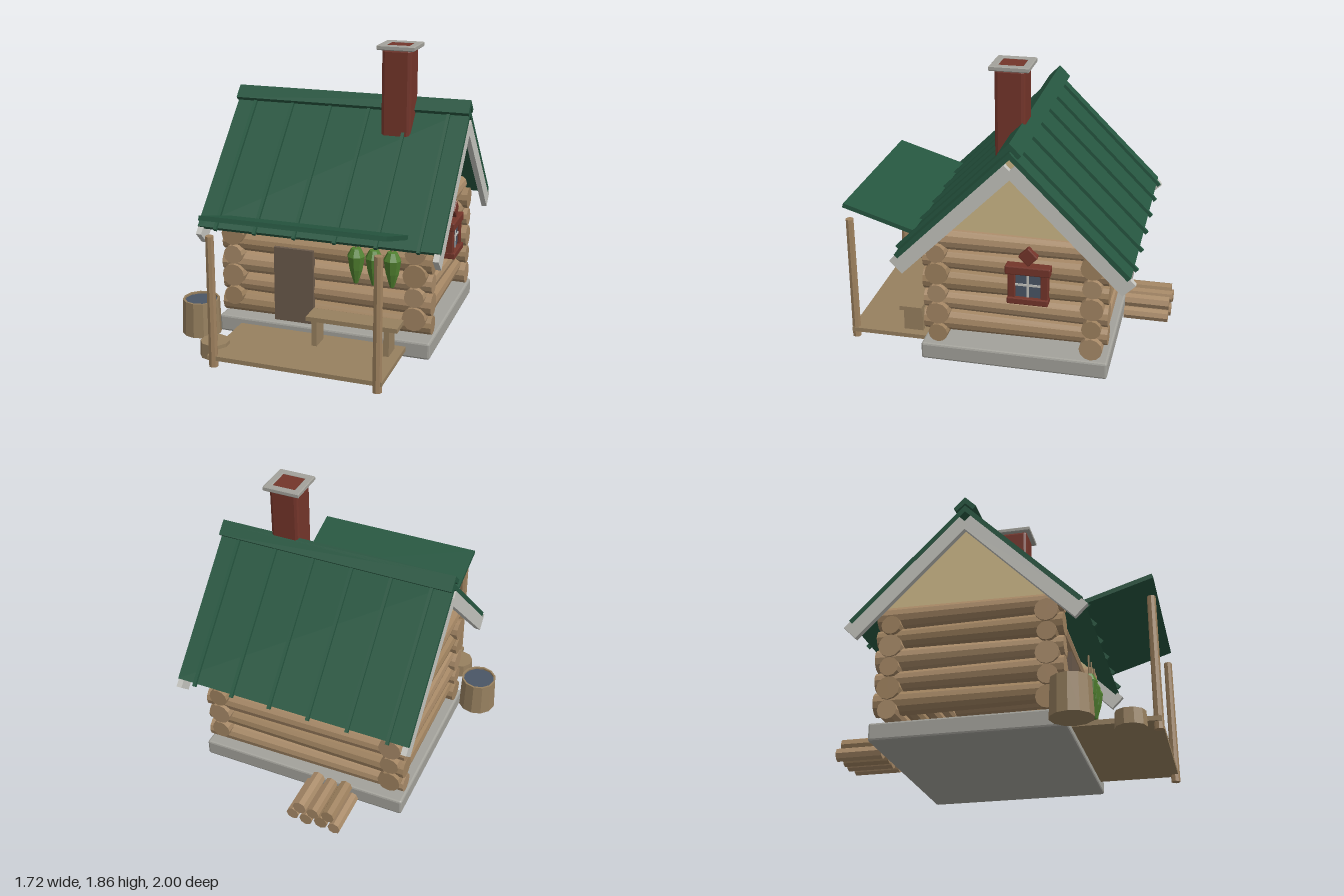
import * as THREE from 'three';
import { RoundedBoxGeometry } from 'three/addons/geometries/RoundedBoxGeometry.js';

const mat = (color, side = THREE.FrontSide) => new THREE.MeshStandardMaterial({ color, side, flatShading: true });

export function createModel() {
  const model = new THREE.Group();
  const woods = [0xa98b69, 0x9f825f, 0xa48664].map((c) => mat(c));
  const plank = mat(0x97805f), doorWood = mat(0x6b5a4b), green = mat(0x265640);
  const brick = mat(0x74352a), stone = mat(0xa3a29b), trim = mat(0xc4c4be);
  const cream = mat(0xcdb888), glass = mat(0x4a5566), leaf = mat(0x50802f);

  function add(name, geometry, material, x, y, z, parent = model) {
    const mesh = new THREE.Mesh(geometry, material);
    mesh.name = name;
    mesh.position.set(x, y, z);
    parent.add(mesh);
    return mesh;
  }
  const box = (name, m, w, h, d, x, y, z, parent) =>
    add(name, new THREE.BoxGeometry(w, h, d), m, x, y, z, parent);
  const bevelBox = (name, m, w, h, d, x, y, z, parent) =>
    add(name, new RoundedBoxGeometry(w, h, d, 1, Math.min(w, h, d) * 0.12), m, x, y, z, parent);

  const cx = 0.075, ridgeZ = -0.11;

  // Stone base
  bevelBox('foundation', stone, 1.4, 0.11, 1.17, cx, 0.055, -0.105);

  // Interlocking log walls, each log slightly tapered
  const walls = new THREE.Group();
  walls.name = 'logWalls';
  model.add(walls);
  for (let i = 0; i < 5; i++) {
    [0, 1].forEach((k) => {
      const taper = (i + k) % 2 ? 0.006 : -0.006;
      const log = add('frontBackLog', new THREE.CylinderGeometry(0.066 + taper, 0.066 - taper, 1.38, 12),
        woods[(i + k) % 3], cx, 0.19 + i * 0.136, k ? 0.37 : -0.585, walls);
      log.rotation.z = Math.PI / 2;
      const side = add('sideLog', new THREE.CylinderGeometry(0.068 + taper, 0.068 - taper, 1.145, 12),
        woods[(i + k + 1) % 3], k ? 0.665 : -0.53, 0.25 + i * 0.139, -0.107, walls);
      side.rotation.x = Math.PI / 2;
    });
  }

  // Gable panels
  const triangle = new THREE.Shape([
    new THREE.Vector2(-0.55, 0), new THREE.Vector2(0.55, 0), new THREE.Vector2(0, 0.55)]);
  const gableGeo = new THREE.ExtrudeGeometry(triangle, { depth: 0.04, bevelEnabled: false })
    .translate(0, 0, -0.02).rotateY(Math.PI / 2);
  for (const x of [-0.53, 0.665]) add('gablePanel', gableGeo, cream, x, 0.855, ridgeZ);

  // Roof: both halves are laid out along the slope (z) and across it (y)
  for (const turn of [0, Math.PI]) {
    const half = new THREE.Group();
    half.name = turn ? 'backRoof' : 'frontRoof';
    half.position.set(cx, 1.485, ridgeZ);
    half.rotation.set(Math.PI / 4, turn, 0, 'YXZ');
    model.add(half);
    const strip = (name, m, x, w, u1, u2, n1, n2) =>
      box(name, m, w, n2 - n1, u2 - u1, x, (n1 + n2) / 2, (u1 + u2) / 2, half);
    strip('roofSlab', green, 0, 1.555, 0.02, 1.025, -0.05, -0.02);
    strip('ridgeCap', green, 0, 1.56, -0.02, 0.08, -0.01, 0.02);
    for (let i = 0; i < 6; i++) strip('roofSeam', green, -0.65 + i * 0.26, 0.02, 0.05, 1.045, -0.025, 0);
    for (const s of [-1, 1]) strip('bargeBoard', trim, s * 0.759, 0.035, 0.099, 1.077, -0.138, -0.03);
  }

  // Chimney with a framed cap
  bevelBox('chimney', brick, 0.19, 0.64, 0.185, 0.415, 1.515, -0.033);
  const frame = new THREE.Shape([[-1, -1], [1, -1], [1, 1], [-1, 1]]
    .map(([a, b]) => new THREE.Vector2(a * 0.115, b * 0.115)));
  frame.holes.push(new THREE.Path([[-1, -1], [-1, 1], [1, 1], [1, -1]]
    .map(([a, b]) => new THREE.Vector2(a * 0.08, b * 0.08))));
  add('chimneyCap', new THREE.ExtrudeGeometry(frame, {
    depth: 0.02, bevelSegments: 1, bevelSize: 0.005, bevelThickness: 0.005 })
    .rotateX(-Math.PI / 2), stone, 0.415, 1.83, -0.035);
  box('chimneyTop', brick, 0.17, 0.02, 0.17, 0.415, 1.838, -0.035);

  // Side window with a diamond ornament
  const win = new THREE.Group();
  win.name = 'sideWindow';
  win.position.set(0.745, 0, -0.2);
  model.add(win);
  box('glass', glass, 0.03, 0.17, 0.17, 0, 0.58, 0, win);
  box('verticalBar', trim, 0.04, 0.16, 0.014, 0, 0.58, 0, win);
  box('horizontalBar', trim, 0.04, 0.014, 0.16, 0, 0.585, 0, win);
  bevelBox('windowHeader', brick, 0.07, 0.055, 0.275, 0.005, 0.685, 0, win);
  bevelBox('windowSill', brick, 0.08, 0.04, 0.25, 0.005, 0.485, 0, win);
  for (const s of [-1, 1]) bevelBox('windowJamb', brick, 0.06, 0.17, 0.045, 0, 0.58, s * 0.1, win);
  bevelBox('diamond', brick, 0.05, 0.085, 0.085, -0.002, 0.77, 0, win).rotation.x = Math.PI / 4;

  // Door
  box('door', doorWood, 0.26, 0.49, 0.04, -0.12, 0.365, 0.435);

  // Porch: floor, posts and a canopy rising outward
  box('porchFloor', plank, 1.1, 0.028, 0.51, 0.075, 0.058, 0.735);
  for (const x of [-0.44, 0.593])
    add('porchPost', new THREE.CylinderGeometry(0.026, 0.029, 0.83, 8), woods[1], x, 0.415, 0.972);
  box('porchCanopy', green, 1.14, 0.028, 0.47, 0.073, 0.872, 0.767).rotation.x = -0.3;

  // Bench
  box('benchSeat', plank, 0.58, 0.028, 0.145, 0.33, 0.25, 0.592);
  for (const x of [0.09, 0.55]) box('benchLeg', plank, 0.035, 0.17, 0.125, x, 0.153, 0.592);

  // Water barrel, open at the top
  const barrel = [[0, 0], [0.128, 0], [0.119, 0.23], [0.106, 0.23], [0.106, 0.2]]
    .map(([r, y]) => new THREE.Vector2(r, y));
  add('barrel', new THREE.LatheGeometry(barrel, 12), mat(0x97805f, THREE.DoubleSide), -0.733, 0, 0.525);
  add('barrelWater', new THREE.CylinderGeometry(0.107, 0.107, 0.01, 12), glass, -0.733, 0.212, 0.525);

  // Chopping stump
  add('stump', new THREE.CylinderGeometry(0.09, 0.094, 0.095, 10), plank, -0.5, 0.0475, 0.82);

  // Firewood pile
  for (let row = 0; row < 2; row++) {
    for (let i = 0; i < 4 - row; i++) {
      const r = 0.042 + ((i * 2 + row) % 3) * 0.002;
      const log = add('firewoodLog', new THREE.CylinderGeometry(r, r, 0.29, 8), woods[(i + row) % 3],
        -0.295 + i * 0.097 + row * 0.048, 0.043 + row * 0.07, -0.855 + ((i + row) % 2) * 0.012);
      log.rotation.x = Math.PI / 2;
    }
  }

  // Hanging green bundles on strings under the eave
  const bundle = [[0, 0.445], [0.014, 0.45], [0.042, 0.54], [0.056, 0.625], [0.03, 0.675], [0, 0.68]]
    .map(([r, y]) => new THREE.Vector2(r, y));
  for (const x of [0.3, 0.415, 0.53]) {
    add('hangingBundle', new THREE.LatheGeometry(bundle, 8), leaf, x, 0, 0.475);
    add('bundleString', new THREE.CylinderGeometry(0.006, 0.006, 0.14, 6), plank, x, 0.745, 0.475);
  }
  return model;
}
